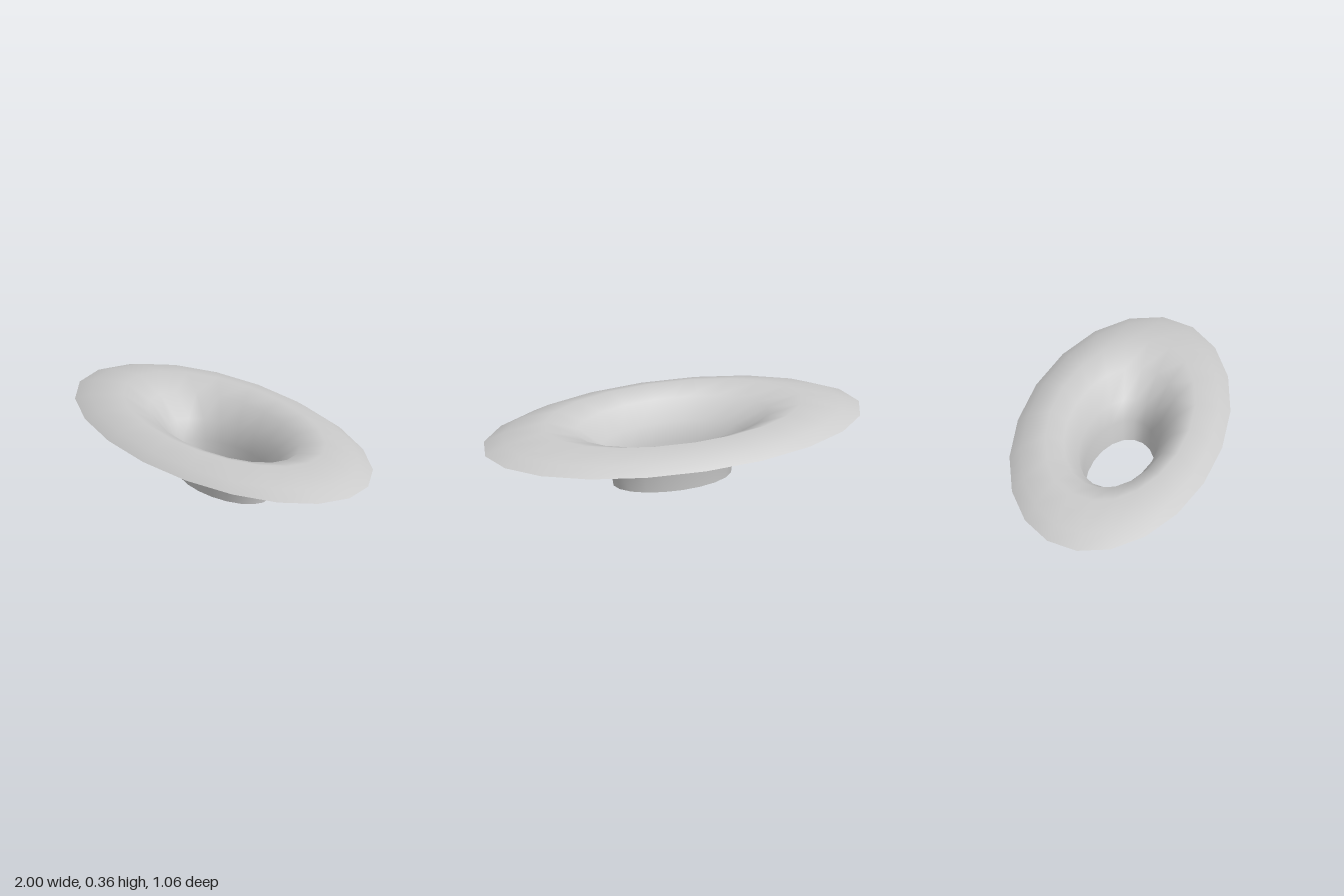
import * as THREE from 'three';

export function createModel() {
  const group = new THREE.Group();
  group.name = 'flaredFunnel';

  // Thin profile from the foot of the neck, up over the crest, down to the rim
  const profile = [
    [0.313, 0], [0.33, 0.11], [0.375, 0.21], [0.51, 0.31],
    [0.68, 0.356], [0.9, 0.311], [1, 0.27],
  ].map(([r, y]) => new THREE.Vector2(r, y));

  // Twenty-sided revolution, squeezed in depth to an oval
  const geometry = new THREE.LatheGeometry(profile, 20);
  geometry.scale(1, 1, 0.53);

  const material = new THREE.MeshStandardMaterial({ color: 0xcccccc, side: THREE.DoubleSide });
  const funnel = new THREE.Mesh(geometry, material);
  funnel.name = 'neckAndFlaredRim';
  group.add(funnel);
  return group;
}
